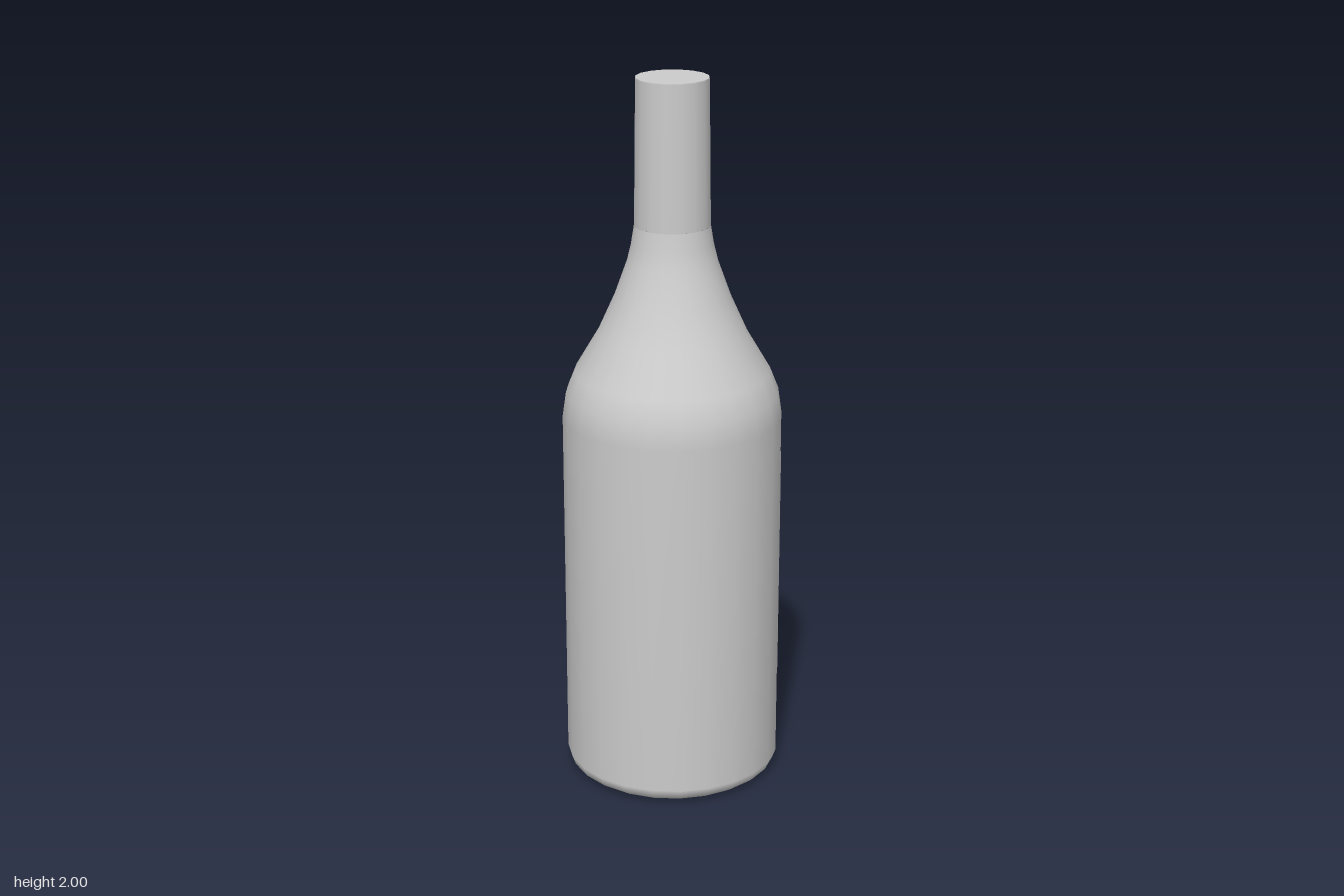
import * as THREE from 'three';

const rad = THREE.MathUtils.degToRad;

// Revolve a list of [radius, height] points around the y axis
function lathe(name, profile, sides, startDeg, sweepDeg = 360, side = THREE.FrontSide) {
  const points = profile.map(([r, y]) => new THREE.Vector2(r, y));
  const geometry = new THREE.LatheGeometry(points, sides, rad(startDeg), rad(sweepDeg));
  const mesh = new THREE.Mesh(geometry, new THREE.MeshStandardMaterial({ color: 0xcccccc, side }));
  mesh.name = name;
  return mesh;
}

export function createModel() {
  const bottle = new THREE.Group();
  bottle.name = 'bottle';

  // Flat underside
  bottle.add(lathe('base', [[0, 0], [0.235, 0]], 24, 3));

  // Rounded heel, straight wall and S-curved shoulder
  bottle.add(lathe('body', [
    [0.235, 0], [0.275, 0.006], [0.295, 0.02], [0.304, 0.045],
    [0.304, 1.06], [0.294, 1.13], [0.27, 1.19], [0.205, 1.3],
    [0.16, 1.4], [0.124, 1.5], [0.112, 1.55], [0.104, 1.6],
  ], 24, 3));

  // Slightly tapered neck sleeve with a flat closed top
  bottle.add(lathe('neckSleeve', [[0.105, 1.6], [0.1, 1.997], [0.099, 2]], 16, 11.25));
  bottle.add(lathe('neckTop', [[0.099, 2], [0, 2]], 16, 11.25));

  // Thin label wrapped around the back
  bottle.add(lathe('backLabel', [[0.305, 0.28], [0.305, 0.94]], 9, 123, 131, THREE.DoubleSide));

  return bottle;
}
